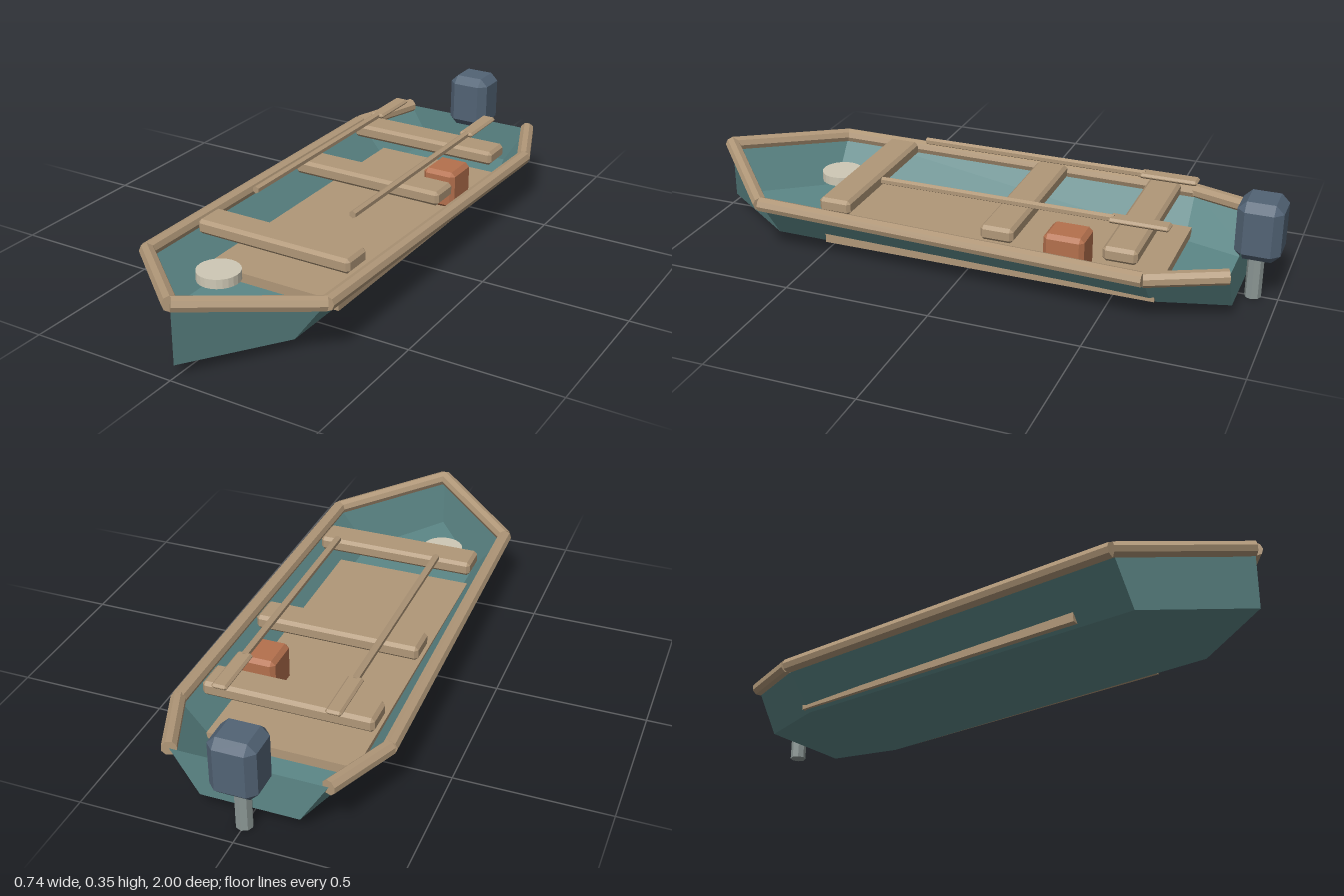
import * as THREE from 'three';
import { ConvexGeometry } from 'three/addons/geometries/ConvexGeometry.js';

function material(name, color, extra = {}) {
  const m = new THREE.MeshStandardMaterial({ color, flatShading: true, ...extra });
  m.name = name;
  return m;
}

// Box with every edge cut off by c
function chamferBox(w, h, d, c) {
  const points = [];
  const [x, y, z] = [w / 2, h / 2, d / 2];
  for (const sx of [-1, 1]) for (const sy of [-1, 1]) for (const sz of [-1, 1]) {
    points.push(
      new THREE.Vector3(sx * x, sy * (y - c), sz * (z - c)),
      new THREE.Vector3(sx * (x - c), sy * y, sz * (z - c)),
      new THREE.Vector3(sx * (x - c), sy * (y - c), sz * z)
    );
  }
  return new ConvexGeometry(points);
}

// Straight round bar between two points
function bar(a, b, radius, sides) {
  const dir = new THREE.Vector3().subVectors(b, a);
  const geo = new THREE.CylinderGeometry(radius, radius, dir.length(), sides);
  geo.applyQuaternion(new THREE.Quaternion().setFromUnitVectors(new THREE.Vector3(0, 1, 0), dir.normalize()));
  const mid = a.clone().add(b).multiplyScalar(0.5);
  return geo.translate(mid.x, mid.y, mid.z);
}

// Hull stations from stern to bow: z, half width at bottom, half width at top, top height
const STATIONS = [
  [-0.883, 0.16, 0.25, 0.186],
  [-0.64, 0.228, 0.345, 0.176],
  [0.68, 0.215, 0.328, 0.193],
  [0.98, 0, 0, 0.24]
];
const KEEL_Y = 0.04;

function hullGeometry() {
  const pos = [], norm = [];
  // One panel, shaded evenly by the normal of its two diagonals
  const quad = (...corners) => {
    const [a, b, c, d] = corners.map(p => new THREE.Vector3(...p));
    const n = c.clone().sub(a).cross(d.clone().sub(b)).normalize();
    for (const p of [a, b, c, a, c, d]) {
      pos.push(p.x, p.y, p.z);
      norm.push(n.x, n.y, n.z);
    }
  };
  const low = (s, side) => [side * s[1], KEEL_Y, s[0]];
  const high = (s, side) => [side * s[2], s[3], s[0]];
  for (let i = 0; i < STATIONS.length - 1; i++) {
    const p = STATIONS[i], q = STATIONS[i + 1];
    quad(low(p, 1), high(p, 1), high(q, 1), low(q, 1));
    quad(low(p, -1), low(q, -1), high(q, -1), high(p, -1));
    quad(low(p, -1), low(p, 1), low(q, 1), low(q, -1));
  }
  const stern = STATIONS[0];
  quad(low(stern, -1), high(stern, -1), high(stern, 1), low(stern, 1));
  const geo = new THREE.BufferGeometry();
  geo.setAttribute('position', new THREE.Float32BufferAttribute(pos, 3));
  geo.setAttribute('normal', new THREE.Float32BufferAttribute(norm, 3));
  return geo;
}

export function createModel() {
  const model = new THREE.Group();
  model.name = 'rowingBoat';

  const teal = material('tealPaint', 0x5c8787, { side: THREE.DoubleSide, flatShading: false });
  const wood = material('wood', 0xb09778);
  const slate = material('slateMotor', 0x526375);
  const grey = material('greyMetal', 0x8b9694);
  const orange = material('orangeBox', 0xb4704d);
  const cream = material('creamFloat', 0xcec8b5);

  const add = (name, geo, mat, x = 0, y = 0, z = 0) => {
    const mesh = new THREE.Mesh(geo, mat);
    mesh.name = name;
    mesh.position.set(x, y, z);
    model.add(mesh);
  };

  // Hull shell and floor boards
  add('hull', hullGeometry(), teal);
  add('floorBoards', new THREE.BoxGeometry(0.494, 0.033, 1.14), wood, 0, 0.0665, -0.086);

  // Rails along the top edge, open across the stern
  for (const side of [-1, 1]) {
    const name = side > 0 ? 'leftRail' : 'rightRail';
    const at = s => new THREE.Vector3(side * s[2], s[3], s[0]);
    for (let i = 0; i < STATIONS.length - 1; i++) {
      add(name, bar(at(STATIONS[i]), at(STATIONS[i + 1]), 0.025, 8), wood);
    }
  }

  // Bench seats
  for (const z of [-0.548, -0.143, 0.428]) {
    add('seat', chamferBox(0.564, 0.05, 0.112, 0.011), wood, 0, 0.205, z);
  }

  // Oars lying fore and aft
  for (const side of [-1, 1]) {
    const x = side * 0.183, y = 0.283;
    add('oarShaft', bar(new THREE.Vector3(x, y, -0.5), new THREE.Vector3(x, y, 0.295), 0.0125, 6), wood);
    add('oarBlade', chamferBox(0.052, 0.017, 0.196, 0.007), wood, x, y, -0.583);
  }

  // Tackle box and round float
  add('tackleBox', chamferBox(0.12, 0.135, 0.136, 0.014), orange, 0.181, 0.148, -0.352);
  add('roundFloat', new THREE.CylinderGeometry(0.072, 0.072, 0.032, 24), cream, -0.115, 0.133, 0.6);

  // Outboard motor
  add('motorHousing', chamferBox(0.152, 0.197, 0.145, 0.027), slate, 0, 0.2495, -0.9275);
  add('motorShaft', new THREE.CylinderGeometry(0.027, 0.027, 0.18, 8), grey, 0, 0.09, -0.919);

  return model;
}
